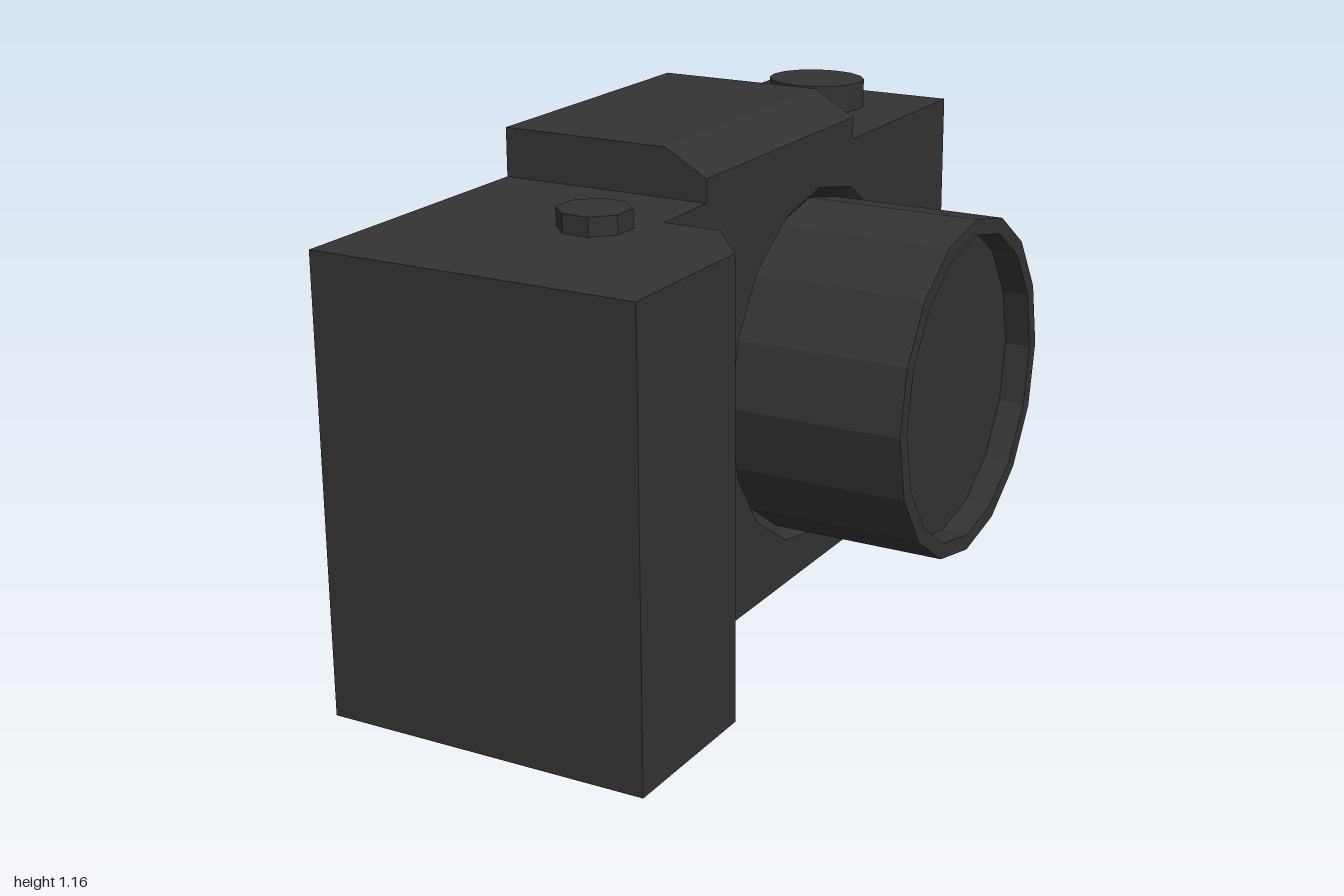
import * as THREE from 'three';

const material = new THREE.MeshStandardMaterial({ color: 0x333333, flatShading: true, side: THREE.DoubleSide });

const poly = (pts) => new THREE.Shape(pts.map(([x, y]) => new THREE.Vector2(x, y)));
const rect = (a, b, c, d) => [[a, c], [b, c], [b, d], [a, d]];

export function createModel() {
  const group = new THREE.Group();
  const add = (name, geometry) => {
    const mesh = new THREE.Mesh(geometry, material);
    mesh.name = name;
    group.add(mesh);
    return mesh;
  };
  const extrude = (shape, depth) => new THREE.ExtrudeGeometry(shape, { depth, bevelEnabled: false });

  // Slab: outline in (z, y), thickness along x
  const slab = (name, pts, x0, x1, holes = []) => {
    const flip = (list) => list.map(([z, y]) => [-z, y]);
    const shape = poly(flip(pts));
    shape.holes = holes.map((h) => poly(flip(h)));
    return add(name, extrude(shape, x1 - x0).rotateY(Math.PI / 2).translate(x0, 0, 0));
  };
  // Prism: outline in (x, y), length along z
  const prism = (name, pts, z0, z1) => add(name, extrude(poly(pts), z1 - z0).translate(0, 0, z0));

  const back = -0.46, inner = -0.395, face = 0.065, seat = 0.03, top = 1.05;
  const lensY = 0.525, lensZ = -0.27, ringR = 0.442;

  // Back wall with openings for the viewfinder and the screen
  slab('backWall',
    [[-1, 0], [1, 0], [1, top], [0.28, top], [0.28, 1.165], [-0.45, 1.165], [-0.45, top], [-1, top]],
    back, inner,
    [rect(-0.27, 0.105, 0.875, 1.065), rect(-0.87, 0.25, 0.185, 0.8)]);
  slab('screen', rect(-0.87, 0.25, 0.185, 0.8), -0.445, inner);
  prism('viewfinderSill', [[back, 0.875], [inner, 0.875], [inner, 0.925]], -0.27, 0.105);

  // Body core and front wall with the round lens opening
  slab('bodyCore', rect(-1, 0.465, 0, top), inner, seat);
  const ring = Array.from({ length: 16 }, (_, i) => {
    const a = (i * Math.PI) / 8;
    return [lensZ + ringR * Math.cos(a), lensY + ringR * Math.sin(a)];
  });
  slab('frontWall', rect(-1, 0.465, 0, top), seat, face, [ring]);

  // Hand grip with a chamfered corner, outline in (x, z)
  const grip = poly([[inner, -0.465], [0.2, -0.465], [0.317, -0.61], [0.317, -1], [inner, -1]]);
  add('grip', extrude(grip, top).rotateX(-Math.PI / 2));

  // Viewfinder hump
  prism('viewfinderHump',
    [[inner, top], [face, top], [face, 1.105], [-0.04, 1.165], [inner, 1.165]], -0.45, 0.28);

  // Lens: sunken collar and barrel with recessed glass
  const turned = (name, pts) => {
    const g = new THREE.LatheGeometry(pts.map(([r, x]) => new THREE.Vector2(r, x)), 16);
    const mesh = add(name, g.rotateZ(-Math.PI / 2));
    mesh.position.set(0, lensY, lensZ);
    return mesh;
  };
  turned('lensCollar', [[ringR, face], [0.405, seat]]);
  turned('lensBarrel', [[0.41, seat], [0.41, 0.475], [0.372, 0.475], [0.372, 0.41], [0, 0.41]])
    .scale.set(1, 1.01, 0.985);

  // Top buttons
  const button = (name, r, sides, turn, h, x, z) => {
    const g = new THREE.CylinderGeometry(r, r, h, sides).rotateY(turn);
    const mesh = add(name, g);
    mesh.position.set(x, top + h / 2, z);
    return mesh;
  };
  button('modeDial', 0.125, 16, 0, 0.07, -0.2, -0.775).scale.z = 0.9;
  button('shutterButton', 0.083, 8, Math.PI / 8, 0.043, -0.043, 0.57);

  // Cross-shaped control pad
  const [z0, z1, z2, z3] = [0.465, 0.575, 0.785, 0.89];
  const [y0, y1, y2, y3] = [0.178, 0.35, 0.527, 0.7];
  slab('controlPad', [
    [z1, y0], [z2, y0], [z2, y1], [z3, y1], [z3, y2], [z2, y2],
    [z2, y3], [z1, y3], [z1, y2], [z0, y2], [z0, y1], [z1, y1],
  ], -0.48, back);

  return group;
}
